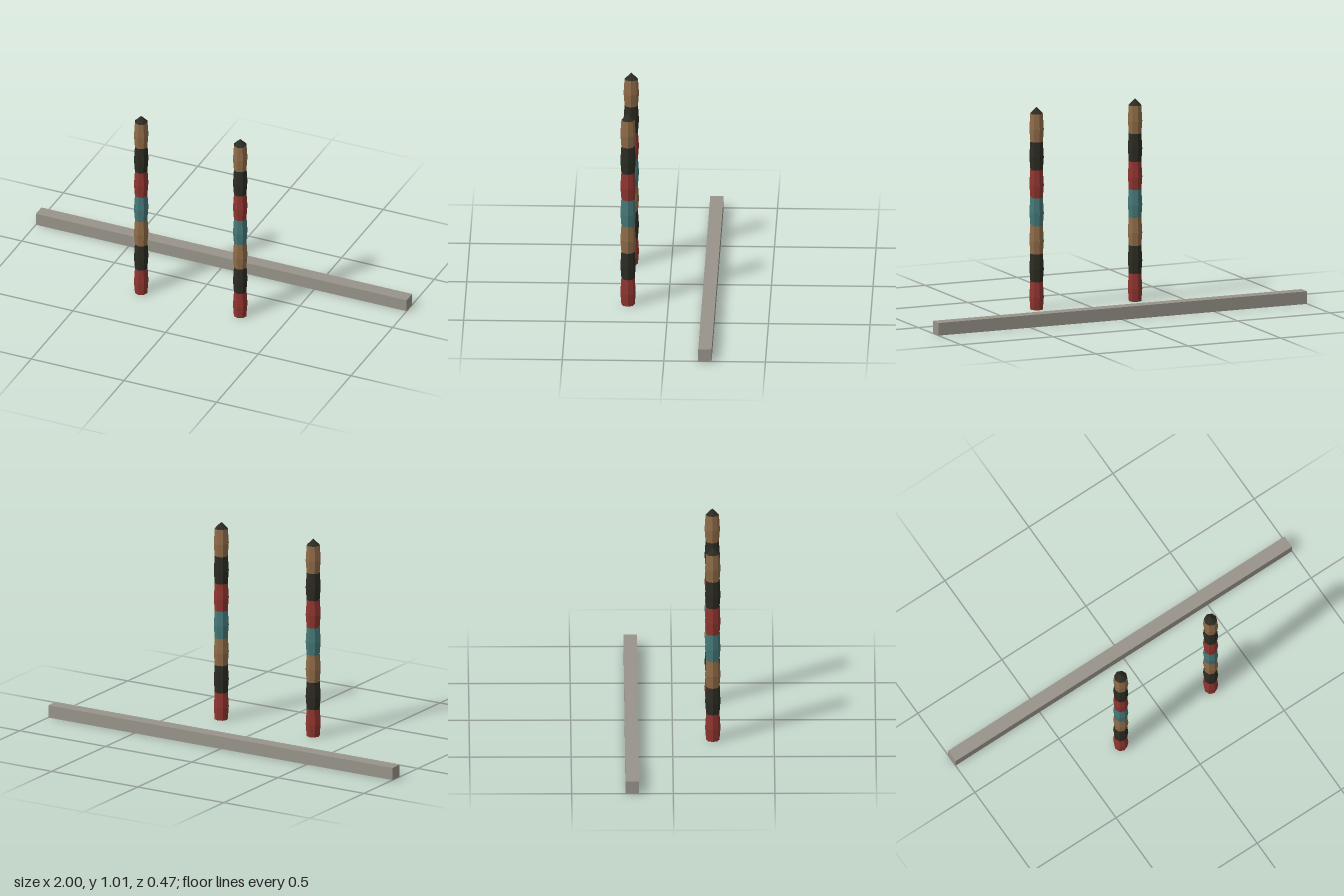
import * as THREE from 'three';

const mat = (name, color) =>
  new THREE.MeshStandardMaterial({ name, color, flatShading: true, side: THREE.DoubleSide });

export function createModel() {
  const model = new THREE.Group();
  model.name = 'polesAndBeam';
  const red = mat('red', 0x8f352f);
  const dark = mat('dark', 0x2c2c23);
  const tan = mat('tan', 0x8f6b48);
  const teal = mat('teal', 0x457878);
  const stone = mat('stone', 0x98948a);

  // Each pole is a stack of eight-sided barrels, open at the ends
  const H = 0.14, R_END = 0.033, R_MID = 0.038;
  const profile = [[R_END, 0], [R_MID, H * 0.46], [R_END, H]].map(([r, y]) => new THREE.Vector2(r, y));
  const barrel = new THREE.LatheGeometry(profile, 8);
  const tip = new THREE.ConeGeometry(R_END, 0.033, 8, 1, true);
  const bands = [red, dark, tan, teal, red, dark, tan];

  for (const side of [1, -1]) {
    const pole = new THREE.Group();
    pole.name = side > 0 ? 'leftPole' : 'rightPole';
    bands.forEach((material, i) => {
      const band = new THREE.Mesh(barrel, material);
      band.name = 'poleBand' + (i + 1);
      band.position.y = i * H;
      pole.add(band);
    });
    const cap = new THREE.Mesh(tip, dark);
    cap.name = 'poleTip';
    cap.position.y = bands.length * H + 0.0165;
    pole.add(cap);
    pole.position.set(side * 0.267, 0, 0.198);
    model.add(pole);
  }

  // Long beam behind the poles, with its underside left open
  const beamGeometry = new THREE.BoxGeometry(2, 0.063, 0.066);
  const faces = Array.from(beamGeometry.index.array);
  faces.splice(18, 6);
  beamGeometry.setIndex(faces);
  beamGeometry.clearGroups();
  const beam = new THREE.Mesh(beamGeometry, stone);
  beam.name = 'beam';
  beam.position.set(0, 0.0315, -0.202);
  model.add(beam);

  return model;
}
